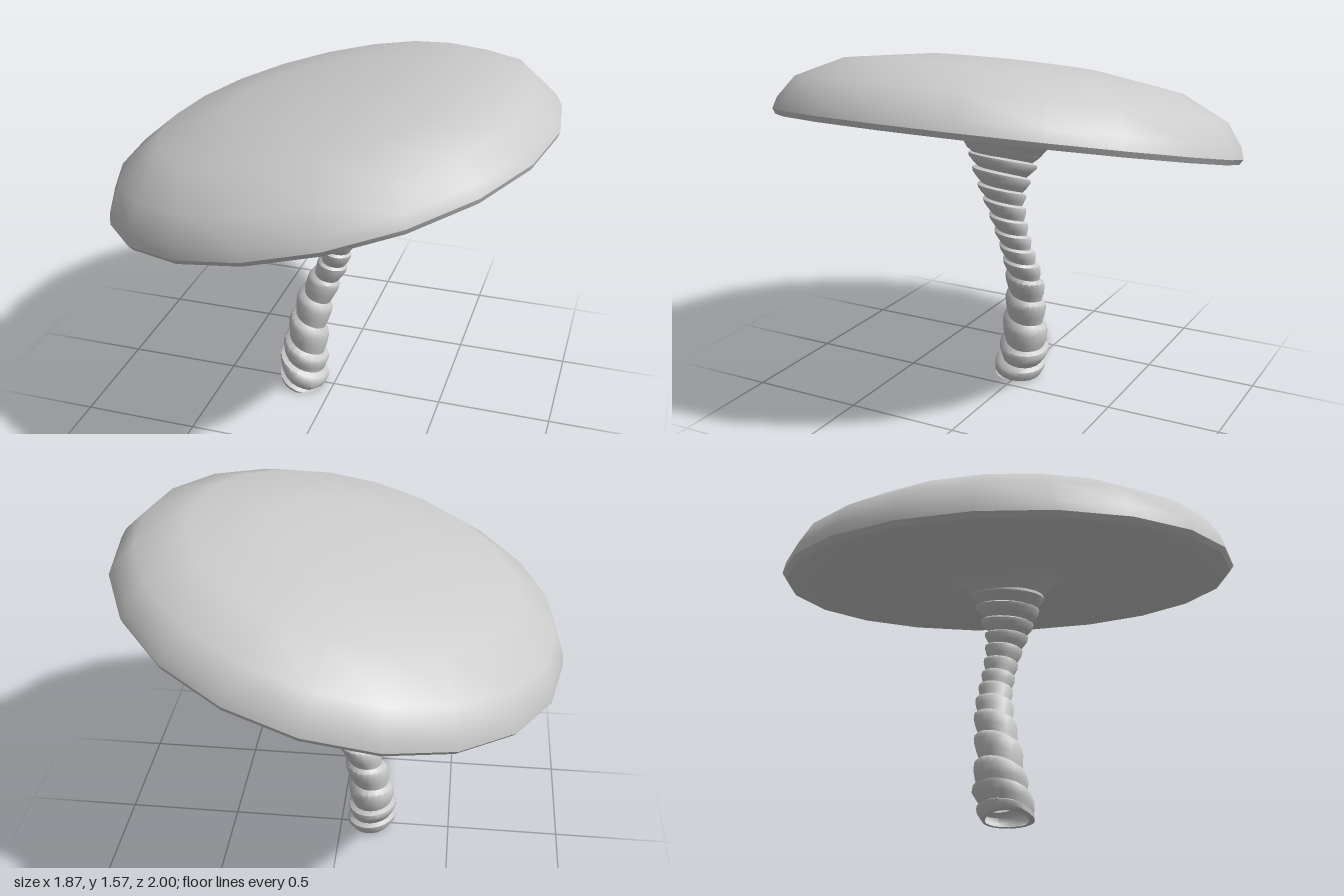
import * as THREE from 'three';
import { toCreasedNormals } from 'three/addons/utils/BufferGeometryUtils.js';

const lerp = THREE.MathUtils.lerp;

// Piecewise linear lookup in a list of [key, value, ...] stations
function sample(stations, key, column) {
  if (key <= stations[0][0]) return stations[0][column];
  for (let i = 1; i < stations.length; i++) {
    const a = stations[i - 1], b = stations[i];
    if (key <= b[0]) return lerp(a[column], b[column], (key - a[0]) / (b[0] - a[0]));
  }
  return stations[stations.length - 1][column];
}

// Stem stations: height, centre x, centre z, radius, slope of the rings
const STEM = [
  [0, -0.145, 0.01, 0.1, -0.25],
  [0.04, -0.142, 0.01, 0.112, -0.25],
  [0.12, -0.145, -0.015, 0.108, -0.25],
  [0.28, -0.13, -0.025, 0.092, -0.2],
  [0.43, -0.1, -0.045, 0.082, -0.15],
  [0.53, -0.06, -0.055, 0.076, -0.1],
  [0.6, -0.025, -0.055, 0.07, -0.05],
  [0.68, 0, -0.045, 0.068, 0],
  [0.75, 0.022, -0.035, 0.07, 0.05],
  [0.84, 0.038, -0.02, 0.078, 0.12],
  [0.92, 0.045, -0.005, 0.093, 0.2],
  [1.0, 0.04, 0, 0.118, 0.24],
  [1.08, 0.022, 0, 0.145, 0.24],
  [1.15, 0.012, 0, 0.16, 0.24],
];

// Height reached after each turn of the screw
const TURNS = [0, 0.09, 0.17, 0.3, 0.42, 0.53, 0.61, 0.68, 0.75, 0.82, 0.89, 0.95, 1.02, 1.08, 1.14]
  .map((y, i) => [i, y]);

// Cross-section of one screw thread: fraction of a turn, radius factor
const THREAD = [[0, 0.82], [0.3, 0.93], [0.65, 1.02], [0.86, 1.0], [1, 0.82]];

// Screw-like stem whose rows follow the helix so thread edges stay clean
function stemGeometry() {
  const sides = 20, last = TURNS.length - 1;
  const positions = [], index = [];
  let rows = 0;
  for (let turn = -1; turn < last; turn++) {
    for (const [f, factor] of THREAD.slice(0, -1)) {
      for (let j = 0; j <= sides; j++) {
        const angle = (j / sides) * Math.PI * 2;
        const phase = THREE.MathUtils.clamp(turn + f + j / sides, 0, last);
        const h = sample(TURNS, phase, 1);
        const r = sample(STEM, h, 3) * factor;
        const dx = Math.cos(angle) * r, dz = Math.sin(angle) * r * 1.08;
        const y = h + dx * sample(STEM, h, 4);
        positions.push(sample(STEM, h, 1) + dx, Math.max(0, y), sample(STEM, h, 2) + dz);
      }
      rows++;
    }
  }
  const w = sides + 1;
  for (let i = 0; i < rows - 1; i++) {
    for (let j = 0; j < sides; j++) {
      const a = i * w + j, b = a + 1, c = a + w, d = c + 1;
      index.push(a, c, b, b, c, d);
    }
  }
  const g = new THREE.BufferGeometry();
  g.setAttribute('position', new THREE.Float32BufferAttribute(positions, 3));
  g.setIndex(index);
  return toCreasedNormals(g, 0.75);
}

// Lathed cap: flared underside, thin lip, flattened dome; then tilted
function capGeometry() {
  const profile = [
    [0.13, -0.1], [0.165, -0.075], [0.205, -0.02], [0.27, 0.0], [0.38, 0.02],
    [0.55, 0.045], [0.72, 0.05], [0.88, 0.02], [0.985, -0.022],
    [1.0, 0.0], [0.985, 0.05], [0.92, 0.144], [0.72, 0.243],
    [0.375, 0.297], [0.15, 0.307], [0, 0.309],
  ].map(([r, y]) => new THREE.Vector2(r, y));
  const g = new THREE.LatheGeometry(profile, 20);
  g.deleteAttribute('normal');
  g.deleteAttribute('uv');
  g.rotateY(-0.045);
  g.scale(0.96, 1, 1);
  g.rotateZ(THREE.MathUtils.degToRad(13.5));
  g.translate(0, 1.175, 0);
  return toCreasedNormals(g, 0.7);
}

export function createModel() {
  const group = new THREE.Group();
  group.name = 'mushroom';
  const material = new THREE.MeshStandardMaterial({ color: 0xcccccc, side: THREE.DoubleSide });
  for (const [name, geometry] of [['cap', capGeometry()], ['stem', stemGeometry()]]) {
    const mesh = new THREE.Mesh(geometry, material);
    mesh.name = name;
    group.add(mesh);
  }
  return group;
}
